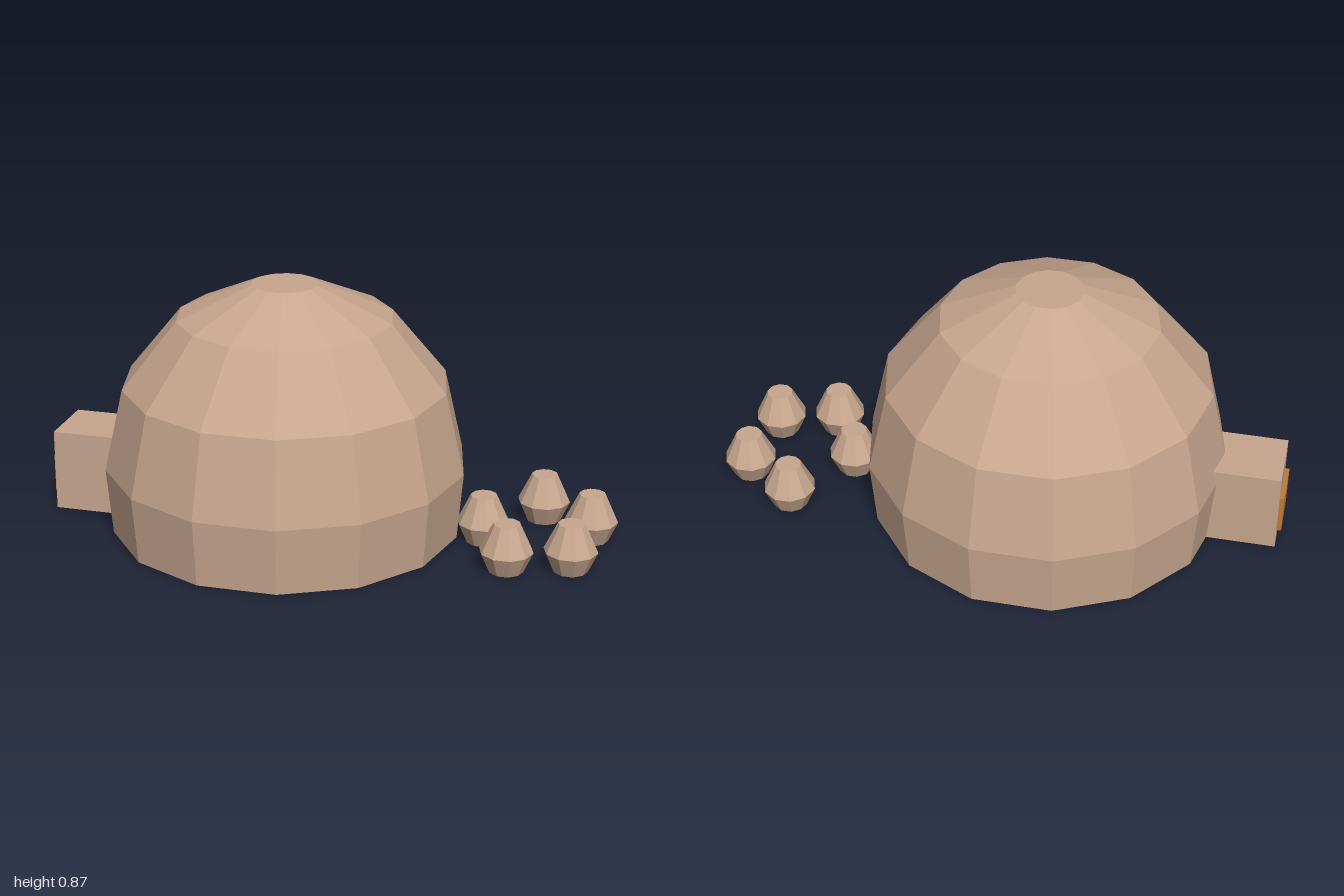
import * as THREE from 'three';

// Faceted solid of revolution with a corner on the +x axis
function facetedLathe(profile, sides) {
  const points = profile.map(([r, y]) => new THREE.Vector2(r, y));
  const geo = new THREE.LatheGeometry(points, sides, Math.PI / 2).toNonIndexed();
  geo.computeVertexNormals();
  return geo;
}

export function createModel() {
  const model = new THREE.Group();
  model.name = 'domeHut';

  const clay = new THREE.MeshStandardMaterial({ color: 0xc8a78f });
  clay.name = 'clay';
  const wood = new THREE.MeshStandardMaterial({ color: 0xc07c35 });
  wood.name = 'wood';

  function add(name, geometry, material, x, y, z) {
    const mesh = new THREE.Mesh(geometry, material);
    mesh.name = name;
    mesh.position.set(x, y, z);
    model.add(mesh);
  }

  // Fourteen-sided dome, closed below
  const domeProfile = [
    [0, 0], [0.613, 0], [0.633, 0.235], [0.567, 0.523],
    [0.376, 0.757], [0.116, 0.873], [0, 0.873],
  ];
  add('dome', facetedLathe(domeProfile, 14), clay, -0.16, 0, 0);

  // Entrance block on the right side, with its door
  add('entrance', new THREE.BoxGeometry(0.385, 0.29, 0.23), clay, -0.7925, 0.145, 0);
  add('door', new THREE.BoxGeometry(0.025, 0.14, 0.17), wood, -0.9875, 0.12, 0);

  // Cluster of ten-sided pots on the left side
  const potGeometry = facetedLathe(
    [[0, 0], [0.06, 0], [0.092, 0.072], [0.046, 0.17], [0, 0.17]], 10);
  const potSpots = [[0.546, 0], [0.718, -0.238], [0.905, -0.105], [0.873, 0.16], [0.665, 0.217]];
  potSpots.forEach(([x, z], i) => add(`pot${i + 1}`, potGeometry, clay, x, 0, z));

  return model;
}
